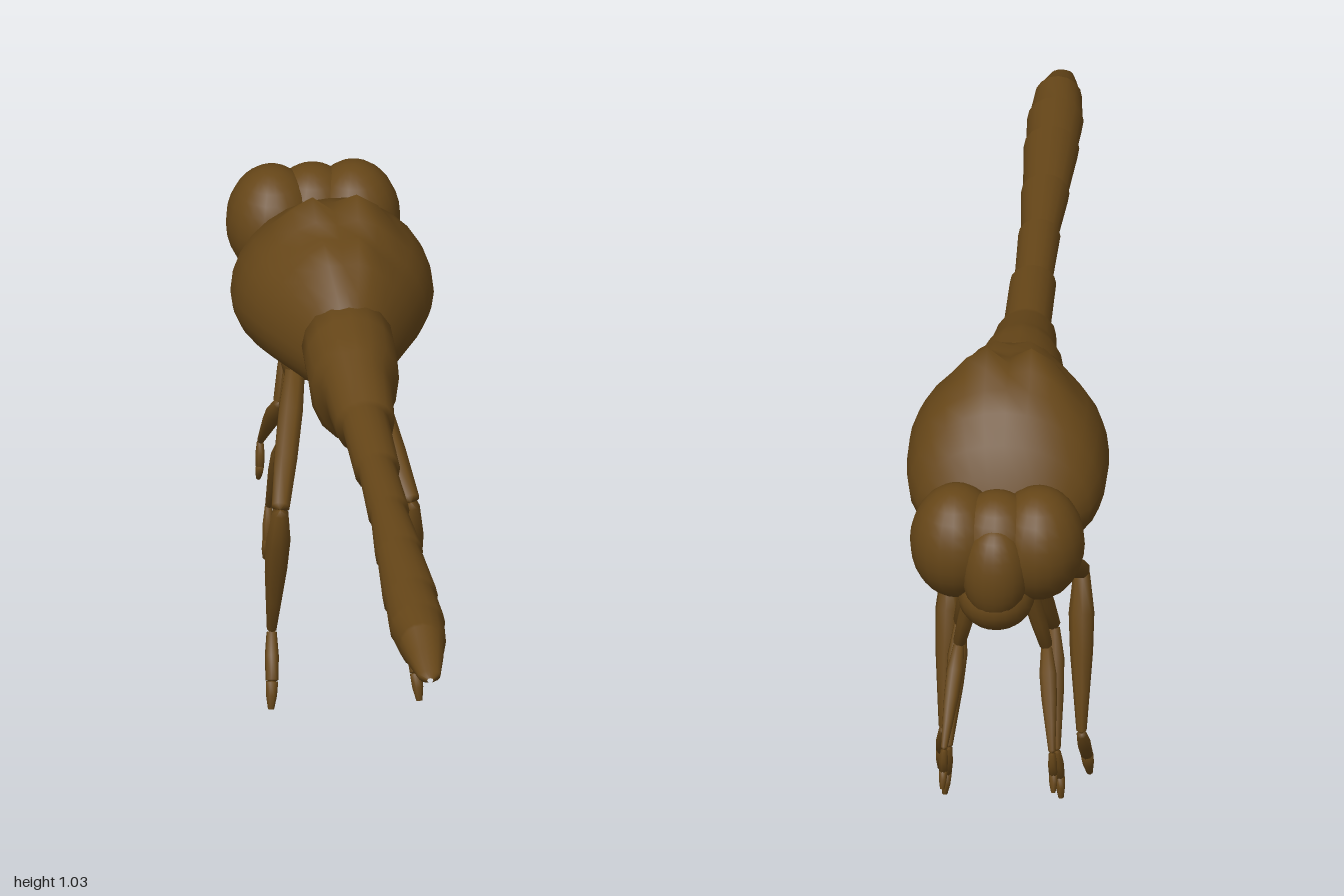
import * as THREE from 'three';

const material = new THREE.MeshStandardMaterial({ color: 0x664618 });

function add(parent, name, geometry) {
  const mesh = new THREE.Mesh(geometry, material);
  mesh.name = name;
  parent.add(mesh);
  return mesh;
}

// Closed skin over oval rings [z, top, bottom, halfWidth], listed from +z to -z.
// The widest line of each ring sits at fraction `waist` of its height.
function loft(rings, sides, waist = 0.5, shape = null) {
  const pos = [], index = [];
  rings.forEach(([z, top, bottom, w], i) => {
    const mid = bottom + (top - bottom) * waist;
    for (let j = 0; j < sides; j++) {
      const a = (j / sides) * Math.PI * 2;
      const c = Math.cos(a);
      const p = new THREE.Vector3(Math.sin(a) * w, mid + c * (c > 0 ? top - mid : mid - bottom), z);
      if (shape) shape(p, c);
      pos.push(p.x, p.y, p.z);
      if (i === rings.length - 1) continue;
      const k = (j + 1) % sides, r = i * sides, s = r + sides;
      index.push(r + j, r + k, s + j, r + k, s + k, s + j);
    }
  });
  const g = new THREE.BufferGeometry();
  g.setAttribute('position', new THREE.Float32BufferAttribute(pos, 3));
  g.setIndex(index);
  g.computeVertexNormals();
  return g;
}

function ellipsoid(parent, name, center, radii) {
  const mesh = add(parent, name, new THREE.SphereGeometry(1, 20, 14));
  mesh.position.set(...center);
  mesh.scale.set(...radii);
}

// Tapered limb segment; radii are spread evenly from start to end
function limb(parent, name, a, b, radii) {
  const start = new THREE.Vector3(...a), dir = new THREE.Vector3(...b).sub(start);
  const length = dir.length();
  const profile = [new THREE.Vector2(0, 0)];
  radii.forEach((r, i) => profile.push(
    new THREE.Vector2(r, length * (0.02 + 0.96 * i / (radii.length - 1)))));
  profile.push(new THREE.Vector2(0, length));
  const mesh = add(parent, name, new THREE.LatheGeometry(profile, 8));
  mesh.position.copy(start);
  mesh.quaternion.setFromUnitVectors(new THREE.Vector3(0, 1, 0), dir.normalize());
}

export function createModel() {
  const model = new THREE.Group();
  model.name = 'dragonfly';

  // Long abdomen with stepped segment joints
  add(model, 'abdomen', loft([
    [1.0, 0.806, 0.796, 0.006], [0.985, 0.815, 0.788, 0.022], [0.93, 0.838, 0.774, 0.034],
    [0.88, 0.858, 0.762, 0.043], [0.875, 0.862, 0.758, 0.046],
    [0.8, 0.858, 0.75, 0.052], [0.79, 0.862, 0.748, 0.055],
    [0.69, 0.855, 0.757, 0.05], [0.68, 0.86, 0.752, 0.054],
    [0.51, 0.849, 0.763, 0.044], [0.5, 0.854, 0.759, 0.047],
    [0.34, 0.844, 0.767, 0.036], [0.33, 0.85, 0.763, 0.041],
    [0.16, 0.842, 0.765, 0.037], [0.15, 0.847, 0.757, 0.045],
    [-0.03, 0.852, 0.752, 0.046], [-0.045, 0.855, 0.736, 0.058],
    [-0.14, 0.885, 0.728, 0.066], [-0.17, 0.897, 0.72, 0.071],
    [-0.2, 0.905, 0.69, 0.084], [-0.22, 0.908, 0.669, 0.088],
    [-0.27, 0.915, 0.71, 0.09], [-0.32, 0.922, 0.715, 0.09],
    [-0.38, 0.9, 0.74, 0.05]], 16, 0.56));

  // Thorax with two pairs of wing-root bumps on its back
  const bumps = [[0.058, -0.53, 0.052, 0.027], [0.04, -0.42, 0.024, 0.026]];
  add(model, 'thorax', loft([
    [-0.27, 0.84, 0.78, 0.02], [-0.29, 0.91, 0.73, 0.065], [-0.33, 0.94, 0.712, 0.095],
    [-0.38, 0.968, 0.703, 0.13], [-0.42, 0.978, 0.695, 0.152], [-0.45, 0.985, 0.69, 0.168],
    [-0.49, 0.998, 0.68, 0.184], [-0.53, 1.003, 0.668, 0.194], [-0.57, 1.005, 0.655, 0.196],
    [-0.61, 0.995, 0.648, 0.194], [-0.65, 0.965, 0.652, 0.187], [-0.69, 0.915, 0.67, 0.168],
    [-0.72, 0.865, 0.7, 0.135], [-0.745, 0.81, 0.735, 0.085], [-0.755, 0.78, 0.76, 0.02]],
  28, 0.45, (p, c) => {
    if (c <= 0) return;
    for (const [x, z, h, r] of bumps) {
      const d = (Math.abs(p.x) - x) ** 2 + (p.z - z) ** 2;
      p.y += h * Math.exp(-d / (2 * r * r));
    }
  }));

  // Neck
  limb(model, 'neck', [0, 0.77, -0.7], [0, 0.78, -0.84], [0.075, 0.06, 0.045, 0.05]);

  // Head: large eyes around a small face
  const head = new THREE.Group();
  head.name = 'head';
  model.add(head);
  for (const s of [-1, 1])
    ellipsoid(head, 'eye', [s * 0.08, 0.807, -0.875], [0.09, 0.115, 0.1]);
  ellipsoid(head, 'crown', [0, 0.81, -0.885], [0.09, 0.107, 0.088]);
  ellipsoid(head, 'face', [0, 0.775, -0.94], [0.065, 0.1, 0.06]);
  ellipsoid(head, 'mouth', [0, 0.705, -0.905], [0.075, 0.066, 0.08]);

  // Three mirrored pairs of legs: hip, knee, ankle, toe, thickness
  const legs = {
    frontLeg: [[0.045, 0.68, -0.775], [0.085, 0.49, -0.72], [0.105, 0.33, -0.86], [0.108, 0.245, -0.865], 0.017],
    middleLeg: [[0.05, 0.67, -0.7], [0.09, 0.47, -0.6], [0.105, 0.26, -0.725], [0.113, 0.15, -0.715], 0.02],
    hindLeg: [[0.065, 0.63, -0.62], [0.128, 0.455, -0.35], [0.134, 0.14, -0.44], [0.145, 0.01, -0.36], 0.025],
  };
  for (const [name, [hip, knee, ankle, toe, r]] of Object.entries(legs)) {
    for (const s of [-1, 1]) {
      const leg = new THREE.Group();
      leg.name = name;
      model.add(leg);
      const [a, b, c, d] = [hip, knee, ankle, toe].map(([x, y, z]) => [s * x, y, z]);
      const root = [a[0] * 0.9, a[1] + 0.06, Math.max(a[2] - 0.01, -0.72)];
      limb(leg, 'hip', root, [a[0], a[1] - 0.03, a[2] + 0.01], [r * 1.3, r * 1.5, r * 0.9]);
      limb(leg, 'upperLeg', a, b, [r * 0.8, r, r * 0.95, r * 0.75]);
      limb(leg, 'lowerLeg', b, c, [r * 0.65, r, r * 0.9, r * 0.65, r * 0.4]);
      // Foot bends slightly before the toe
      const bend = c.map((v, i) => v + (d[i] - v) * 0.6);
      bend[2] += 0.012;
      limb(leg, 'foot', c, bend, [r * 0.4, r * 0.55, r * 0.5]);
      limb(leg, 'toe', bend, d, [r * 0.5, r * 0.45, r * 0.25]);
    }
  }
  return model;
}
